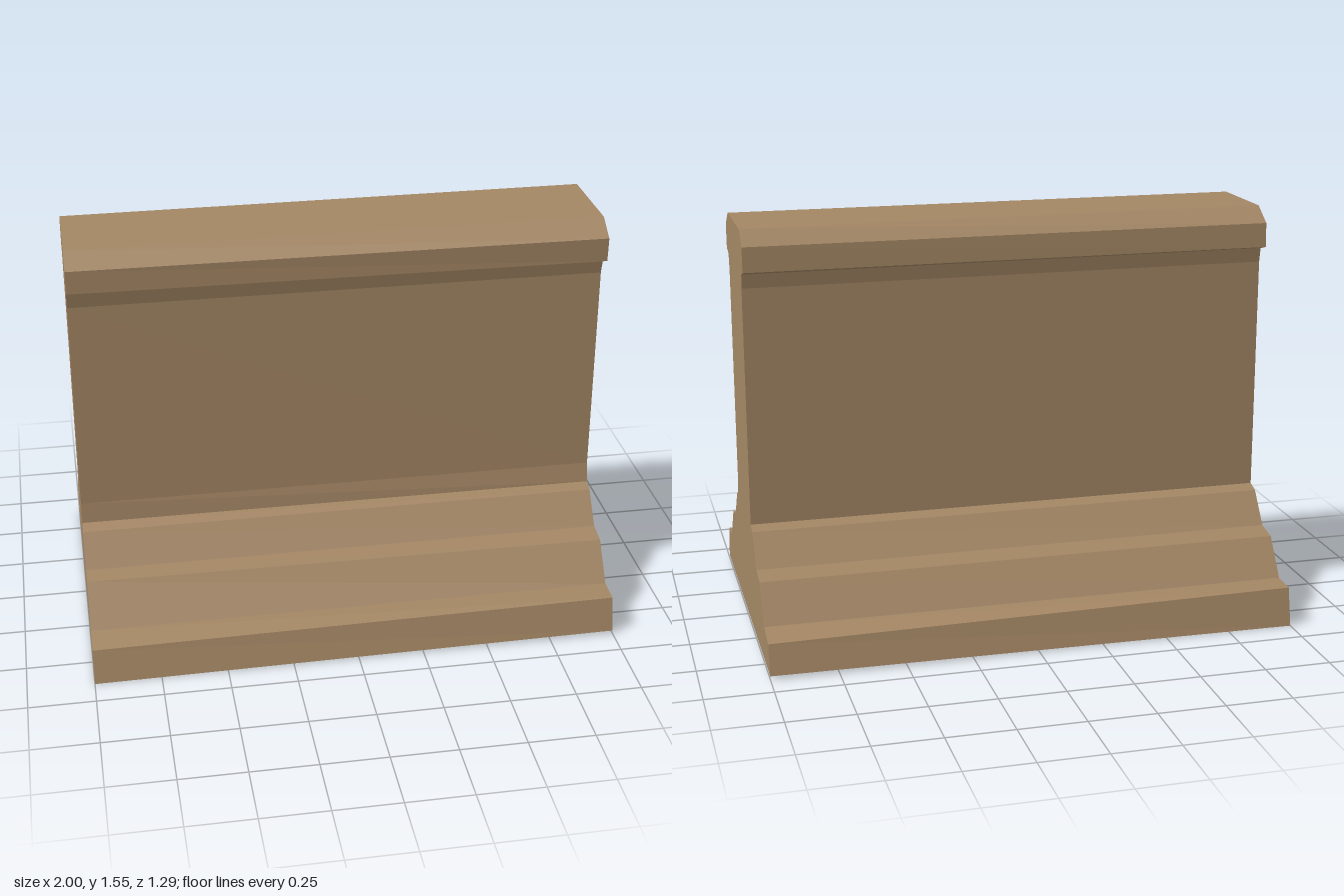
import * as THREE from 'three';

// End sections as [z, y], from the front foot over the top to the back foot
const rightEnd = [
  [0.64, 0.013], [0.61, 0.145], [0.515, 0.15], [0.413, 0.287], [0.33, 0.302], [0.24, 0.418],
  [0.2, 0.433], [0.186, 0.51], [0.187, 1.33], [0.202, 1.39], [0.252, 1.403], [0.257, 1.495], [0.175, 1.55],
  [-0.18, 1.55], [-0.245, 1.495], [-0.248, 1.402], [-0.205, 1.388], [-0.195, 1.335], [-0.198, 0.435],
  [-0.242, 0.42], [-0.33, 0.303], [-0.417, 0.287], [-0.512, 0.15], [-0.612, 0.124], [-0.642, 0.013],
];
const leftEnd = [
  [0.643, 0], [0.607, 0.125], [0.512, 0.15], [0.395, 0.292], [0.33, 0.304], [0.243, 0.42],
  [0.198, 0.435], [0.19, 0.515], [0.187, 1.33], [0.202, 1.39], [0.245, 1.408], [0.245, 1.495], [0.178, 1.55],
  [-0.165, 1.55], [-0.248, 1.495], [-0.252, 1.403], [-0.202, 1.39], [-0.192, 1.335], [-0.195, 0.435],
  [-0.242, 0.42], [-0.33, 0.303], [-0.417, 0.287], [-0.515, 0.15], [-0.61, 0.145], [-0.64, 0],
];

function geometryFrom(points) {
  const g = new THREE.BufferGeometry();
  g.setAttribute('position', new THREE.Float32BufferAttribute(points.flat(), 3));
  g.computeVertexNormals();
  return g;
}

const at = (x, [z, y]) => [x, y, z];

// Faceted skin between the two ends, open underneath
function skin() {
  const pts = [];
  for (let i = 0; i < rightEnd.length - 1; i++) {
    const a = at(1, rightEnd[i]), b = at(1, rightEnd[i + 1]);
    const c = at(-1, leftEnd[i + 1]), d = at(-1, leftEnd[i]);
    pts.push(a, b, c, a, c, d);
  }
  return geometryFrom(pts);
}

// Flat end plate
function cap(section, x) {
  const faces = THREE.ShapeUtils.triangulateShape(section.map(([z, y]) => new THREE.Vector2(z, y)), []);
  const pts = [];
  for (const f of faces) {
    const order = x > 0 ? [f[2], f[1], f[0]] : f;
    for (const i of order) pts.push(at(x, section[i]));
  }
  return geometryFrom(pts);
}

export function createModel() {
  const group = new THREE.Group();
  group.name = 'steppedBarrier';
  const stone = new THREE.MeshStandardMaterial({ color: 0xa38664 });
  stone.name = 'sandstone';
  stone.side = THREE.DoubleSide;
  stone.flatShading = true;

  const add = (name, geometry) => {
    const mesh = new THREE.Mesh(geometry, stone);
    mesh.name = name;
    group.add(mesh);
  };
  add('wallSkin', skin());
  add('rightEndFace', cap(rightEnd, 1));
  add('leftEndFace', cap(leftEnd, -1));
  return group;
}
